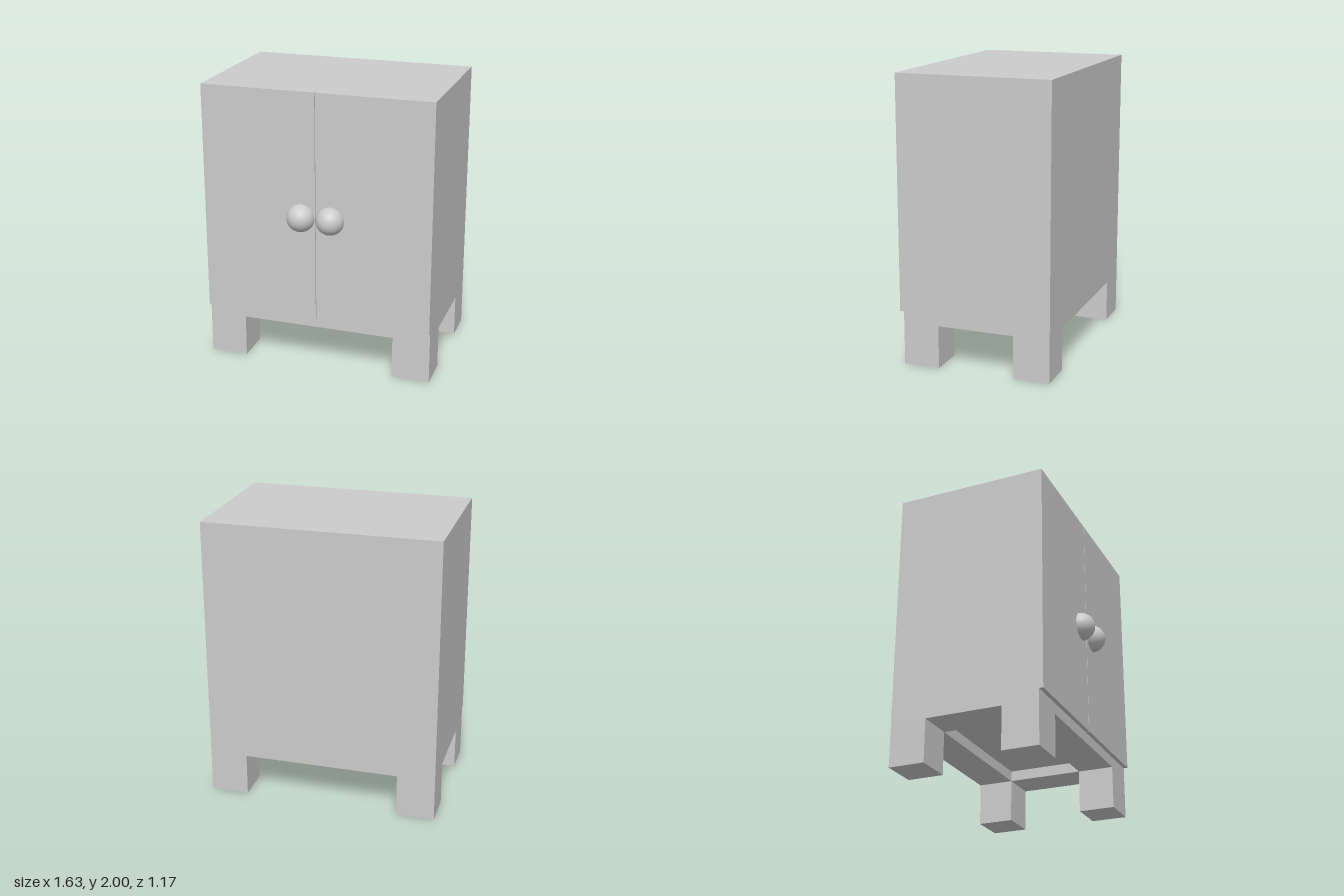
import * as THREE from 'three';

export function createModel() {
  const group = new THREE.Group();
  group.name = 'cabinet';
  const material = new THREE.MeshStandardMaterial({ color: 0xcccccc });

  const W = 0.813, BACK = -0.587, FRONT = 0.46, DOOR_FRONT = 0.489;
  const IN_X = 0.547, IN_BACK = -0.334, IN_FRONT = 0.205;
  const LEG_TOP = 0.3, BASE_TOP = 0.375, TOP = 2;

  const add = (name, geometry) => {
    const mesh = new THREE.Mesh(geometry, material);
    mesh.name = name;
    group.add(mesh);
    return mesh;
  };
  // Box given by its minimum and maximum corners
  const box = (name, x0, x1, y0, y1, z0, z1) => {
    const mesh = add(name, new THREE.BoxGeometry(x1 - x0, y1 - y0, z1 - z0));
    mesh.position.set((x0 + x1) / 2, (y0 + y1) / 2, (z0 + z1) / 2);
  };
  const rectangle = (path, x, z0, z1) =>
    path.moveTo(-x, -z1).lineTo(x, -z1).lineTo(x, -z0).lineTo(-x, -z0).closePath();

  // Main body
  box('carcass', -W, W, BASE_TOP, TOP, BACK, FRONT);

  // Open base frame, leaving a shallow recess under the body
  const frame = rectangle(new THREE.Shape(), W, BACK, FRONT);
  frame.holes.push(rectangle(new THREE.Path(), IN_X, IN_BACK, IN_FRONT));
  const base = add('baseFrame', new THREE.ExtrudeGeometry(frame, {
    depth: BASE_TOP - LEG_TOP, bevelEnabled: false,
  }));
  base.rotation.x = -Math.PI / 2;
  base.position.y = LEG_TOP;

  for (const side of [-1, 1]) {
    const label = side > 0 ? 'left' : 'right';
    const span = (a, b) => (side > 0 ? [a, b] : [-b, -a]);

    // Door, with a hairline gap at the middle
    box(`${label}Door`, ...span(0.002, W), BASE_TOP, TOP, FRONT, DOOR_FRONT);

    // Half-round knob
    const knob = add(`${label}Knob`,
      new THREE.SphereGeometry(0.098, 40, 16, 0, Math.PI * 2, 0, Math.PI / 2));
    knob.rotation.x = Math.PI / 2;
    knob.position.set(side * 0.105, 1.12, DOOR_FRONT);

    // Legs
    box(`${label}FrontLeg`, ...span(IN_X, W), 0, LEG_TOP, IN_FRONT, FRONT);
    box(`${label}BackLeg`, ...span(IN_X, W), 0, LEG_TOP, BACK, IN_BACK);
  }
  return group;
}
